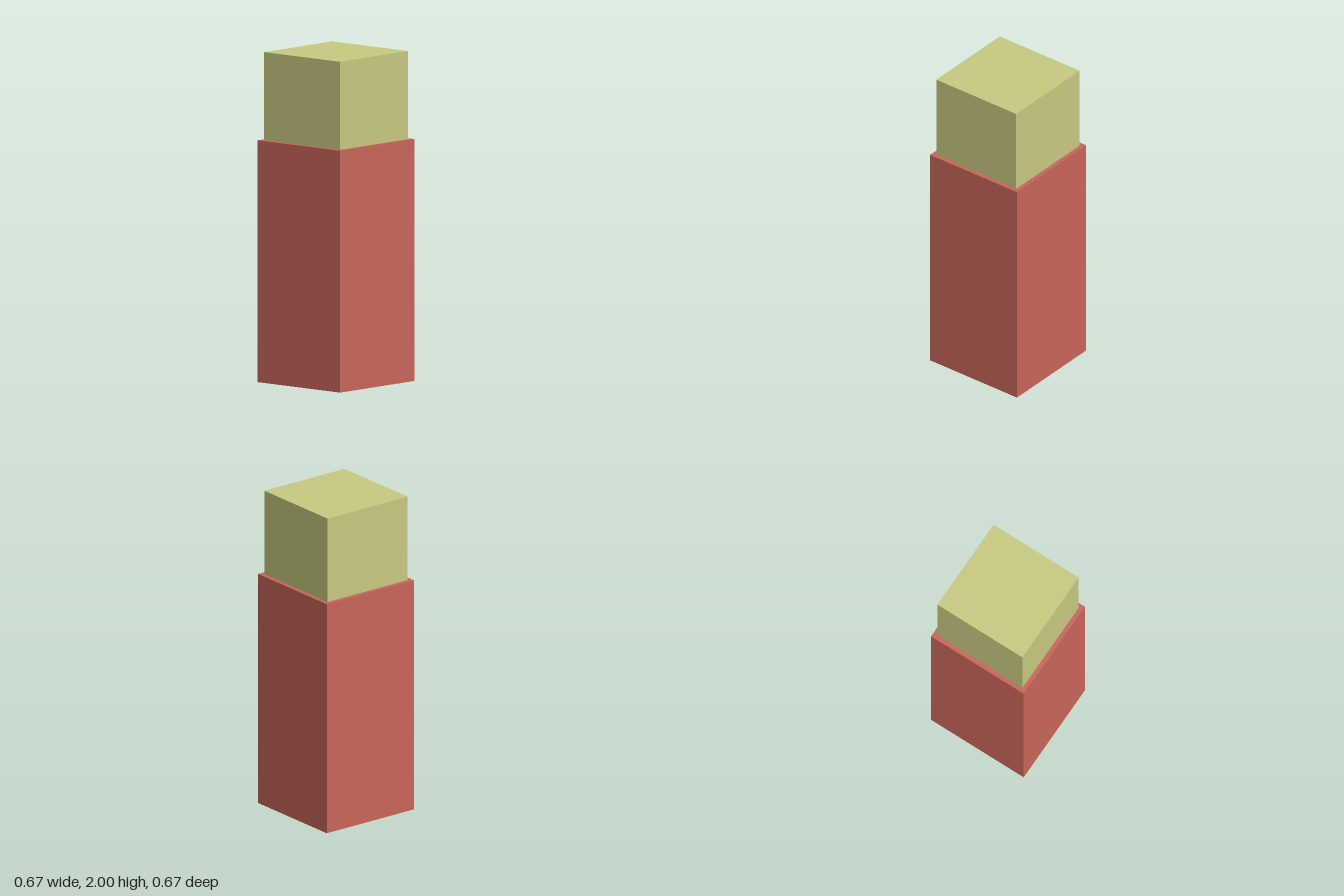
import * as THREE from 'three';

// Square block standing from y0 to y1
function block(name, width, y0, y1, color) {
  const mesh = new THREE.Mesh(
    new THREE.BoxGeometry(width, y1 - y0, width),
    new THREE.MeshStandardMaterial({ color })
  );
  mesh.position.y = (y0 + y1) / 2;
  mesh.name = name;
  return mesh;
}

export function createModel() {
  const group = new THREE.Group();
  group.name = 'steppedPillar';
  // Tall lower body and the slightly narrower block on top
  group.add(block('lowerBody', 0.666, 0, 1.466, 0xc8655a));
  group.add(block('upperBlock', 0.612, 1.466, 2, 0xc8c882));
  return group;
}
